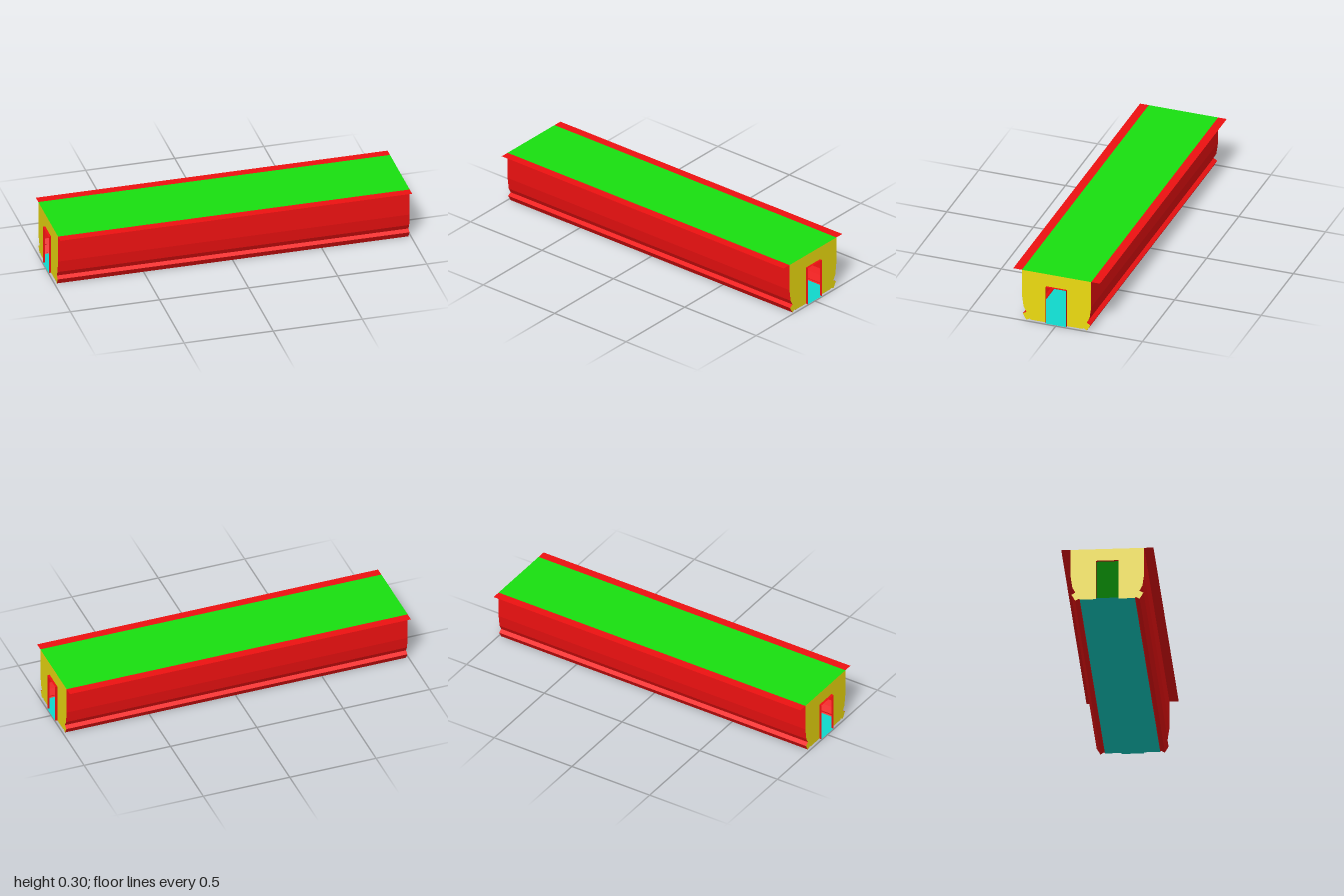
import * as THREE from 'three';

const HALF = 0.987;        // half length of the body
const TOP = 0.305, FLOOR = 0.007;
const DOOR_Z = 0.06, DOOR_TOP = 0.23;

// Side wall section as [z, y], from the roof edge down to the floor edge
const WALL = [
  [0.2, TOP], [0.2, 0.15], [0.19, 0.08], [0.174, 0.05],
  [0.195, 0.037], [0.175, 0.002], [0.154, 0.013], [0.15, FLOOR],
];

const paint = (color) =>
  new THREE.MeshStandardMaterial({ color, side: THREE.DoubleSide, flatShading: true });
const mirror = (points) => points.map(([z, y]) => [-z, y]).reverse();

// Sweeps an open [z, y] section along x as a thin sheet
function sheet(name, section, x0, x1, material) {
  const pos = [];
  for (let i = 0; i < section.length - 1; i++) {
    const [za, ya] = section[i], [zb, yb] = section[i + 1];
    pos.push(x0, ya, za, x0, yb, zb, x1, yb, zb);
    pos.push(x0, ya, za, x1, yb, zb, x1, ya, za);
  }
  const geo = new THREE.BufferGeometry();
  geo.setAttribute('position', new THREE.Float32BufferAttribute(pos, 3));
  geo.computeVertexNormals();
  const mesh = new THREE.Mesh(geo, material);
  mesh.name = name;
  return mesh;
}

export function createModel() {
  const model = new THREE.Group();
  model.name = 'carriageBody';
  const red = paint(0xee1111), green = paint(0x18e010);
  const yellow = paint(0xeedc10), cyan = paint(0x10d8cc);

  // Roof and floor; sections run so that the outer side faces outward
  model.add(sheet('roof', [[-0.2, TOP], [0.2, TOP]], -HALF, HALF, green));
  model.add(sheet('floor', [[0.15, FLOOR], [-0.15, FLOOR]], -HALF, HALF, cyan));

  // Side walls with the skirt rail, and the flat eaves
  const eave = [[0.2, TOP], [0.25, TOP]];
  model.add(sheet('leftWall', WALL, -HALF, HALF, red));
  model.add(sheet('rightWall', mirror(WALL), -HALF, HALF, red));
  model.add(sheet('leftEave', eave, -HALF, HALF, red));
  model.add(sheet('rightEave', mirror(eave), -HALF, HALF, red));

  // End walls: the body section with a doorway notch
  const doorway = [[-DOOR_Z, FLOOR], [-DOOR_Z, DOOR_TOP], [DOOR_Z, DOOR_TOP], [DOOR_Z, FLOOR]];
  const outline = [...WALL, ...[...doorway].reverse(), ...mirror(WALL)];
  const endShape = new THREE.Shape(outline.map(([z, y]) => new THREE.Vector2(z, y)));

  for (const [name, side] of [['left', 1], ['right', -1]]) {
    const wall = new THREE.Mesh(new THREE.ShapeGeometry(endShape), yellow);
    wall.name = name + 'EndWall';
    wall.rotation.y = side * Math.PI / 2;
    wall.position.x = side * HALF;
    model.add(wall);

    // Short door surround and threshold projecting from the end
    const x0 = Math.min(side * HALF, side), x1 = Math.max(side * HALF, side);
    model.add(sheet(name + 'DoorFrame', doorway, x0, x1, red));
    model.add(sheet(name + 'Threshold', [[DOOR_Z, FLOOR], [-DOOR_Z, FLOOR]], x0, x1, cyan));
  }
  return model;
}
